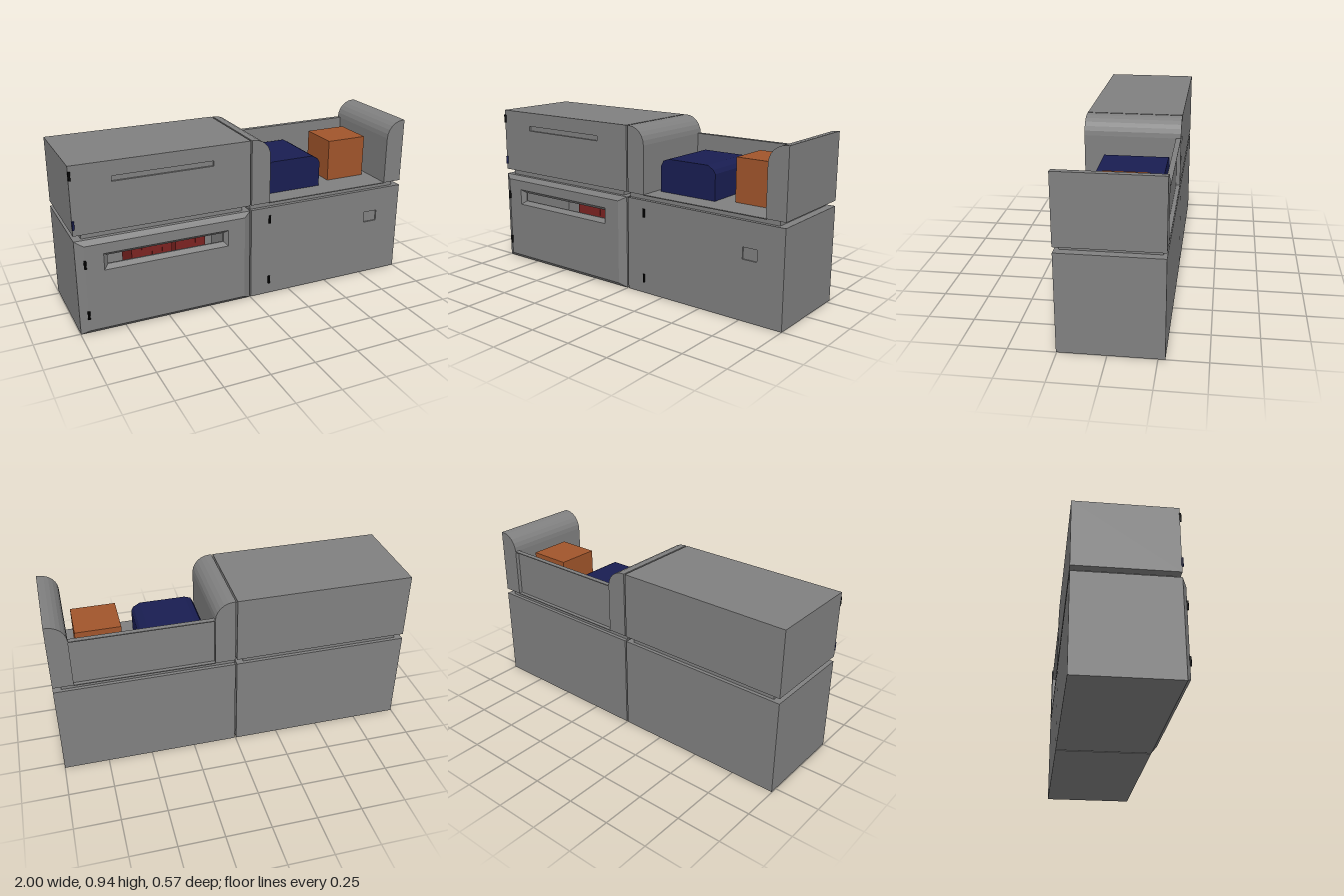
import * as THREE from 'three';

const material = (color) => new THREE.MeshStandardMaterial({ color, flatShading: true });
const GREY = material(0x808080);
const BLACK = material(0x050505);
const NAVY = material(0x191e52);
const ORANGE = material(0xa1552b);
const RED = material(0x7c2321);

const BACK = -0.286, FRONT = 0.254;
const OUTER = -0.998, INNER = -0.004;

export function createModel() {
  const model = new THREE.Group();

  function add(name, geometry, mat = GREY) {
    const mesh = new THREE.Mesh(geometry, mat);
    mesh.name = name;
    model.add(mesh);
    return mesh;
  }

  // Box given by its limits on each axis
  function block(name, x0, x1, y0, y1, z0, z1, mat) {
    const geometry = new THREE.BoxGeometry(x1 - x0, y1 - y0, z1 - z0);
    geometry.translate((x0 + x1) / 2, (y0 + y1) / 2, (z0 + z1) / 2);
    return add(name, geometry, mat);
  }

  // Skin over successive rectangles [x0, x1, y0, y1, z], closed at both ends
  function loft(rects) {
    const positions = [];
    const loops = rects.map(([x0, x1, y0, y1, z]) =>
      [[x0, y0, z], [x1, y0, z], [x1, y1, z], [x0, y1, z]]);
    const quad = (a, b, c, d) => positions.push(...a, ...b, ...c, ...a, ...c, ...d);
    const [s0, s1, s2, s3] = loops[0];
    quad(s0, s3, s2, s1);
    for (let i = 0; i < loops.length - 1; i++) {
      for (let k = 0; k < 4; k++) {
        const n = (k + 1) % 4;
        quad(loops[i][k], loops[i][n], loops[i + 1][n], loops[i + 1][k]);
      }
    }
    quad(...loops[loops.length - 1]);
    const geometry = new THREE.BufferGeometry();
    geometry.setAttribute('position', new THREE.Float32BufferAttribute(positions, 3));
    geometry.computeVertexNormals();
    return geometry;
  }

  // Outline pushed along z
  function prism(name, points, z0, z1, mat) {
    const shape = new THREE.Shape(points.map(([x, y]) => new THREE.Vector2(x, y)));
    const geometry = new THREE.ExtrudeGeometry(shape, { depth: z1 - z0, bevelEnabled: false });
    geometry.translate(0, 0, z0);
    return add(name, geometry, mat);
  }

  // Lower hollow cabinet: bevelled door, sloped window frame, inner cavity
  add('lowerCabinetWithWindow', loft([
    [OUTER, INNER, 0, 0.54, BACK],
    [OUTER, INNER, 0, 0.54, FRONT],
    [-0.953, -0.048, 0.025, 0.515, 0.279],
    [-0.853, -0.148, 0.364, 0.458, 0.279],
    [-0.828, -0.168, 0.385, 0.437, FRONT],
    [-0.828, -0.168, 0.385, 0.437, 0.245],
    [-0.988, -0.014, 0.01, 0.53, 0.245],
    [-0.988, -0.014, 0.01, 0.53, -0.276],
  ]));

  // Red goods stored inside the cabinet
  for (let i = 0; i < 4; i++) {
    block('lowStoredBox', -0.622 + i * 0.061, -0.562 + i * 0.061, 0.01, 0.415, -0.2, 0, RED);
  }
  for (let i = 0; i < 3; i++) {
    block('tallStoredBox', -0.358 + i * 0.062, -0.297 + i * 0.062, 0.01, 0.46, -0.2, 0, RED);
  }

  // Upper closed cabinet with a long grip groove
  add('upperCabinet', loft([
    [OUTER, INNER, 0.57, 0.945, BACK],
    [OUTER, INNER, 0.57, 0.945, FRONT],
    [-0.78, -0.22, 0.834, 0.863, FRONT],
    [-0.78, -0.22, 0.834, 0.863, FRONT - 0.012],
  ]));

  // Lower cabinet with a small square latch recess
  add('lowerCabinetWithLatch', loft([
    [0.005, 1, 0, 0.54, BACK],
    [0.005, 1, 0, 0.54, FRONT],
    [0.76, 0.845, 0.335, 0.4, FRONT],
    [0.76, 0.845, 0.335, 0.4, FRONT - 0.008],
  ]));

  // Recessed necks between lower and upper units
  block('cabinetNeck', -0.955, -0.043, 0.54, 0.57, -0.266, 0.232);
  block('trayNeck', 0.006, 0.956, 0.54, 0.57, -0.266, 0.232);

  // Open tray: floor, recessed back panel and its top lip
  block('trayFloor', 0.118, 0.888, 0.566, 0.571, BACK, FRONT);
  block('trayBackPanel', 0.118, 0.888, 0.57, 0.843, -0.264, -0.258);
  block('trayBackLip', 0.118, 0.888, 0.841, 0.846, BACK, -0.258);

  // Rounded tray ends, mirrored
  const arm = [[0.005, 0.57], [0.118, 0.57]];
  for (let i = 0; i <= 6; i++) {
    const a = (i / 6) * Math.PI / 2;
    arm.push([0.018 + 0.1 * Math.cos(a), 0.845 + 0.1 * Math.sin(a)]);
  }
  arm.push([0.005, 0.945]);
  prism('rightTrayEnd', arm, BACK, FRONT);
  prism('leftTrayEnd', arm.map(([x, y]) => [1.005 - x, y]), BACK, FRONT);

  // Items resting in the tray
  prism('blueBundle', [
    [0.145, 0.571], [0.506, 0.571], [0.506, 0.718], [0.493, 0.74], [0.456, 0.761],
    [0.196, 0.761], [0.161, 0.748], [0.145, 0.716],
  ], -0.226, 0.132, NAVY);
  block('orangeBox', 0.6, 0.846, 0.571, 0.815, -0.166, 0.077, ORANGE);

  // Door hinges, one of them blue
  const hinges = [
    [-0.993, 0.892, 0.256, BLACK], [-0.993, 0.629, 0.256, NAVY],
    [-0.953, 0.413, 0.28, BLACK], [-0.953, 0.118, 0.28, BLACK],
    [0.12, 0.468, 0.256, BLACK], [0.12, 0.087, 0.256, BLACK],
  ];
  for (const [x, y, z, mat] of hinges) {
    const pin = new THREE.CylinderGeometry(0.007, 0.007, 0.047, 10);
    add('hinge', pin.translate(x, y, z), mat);
  }

  return model;
}
